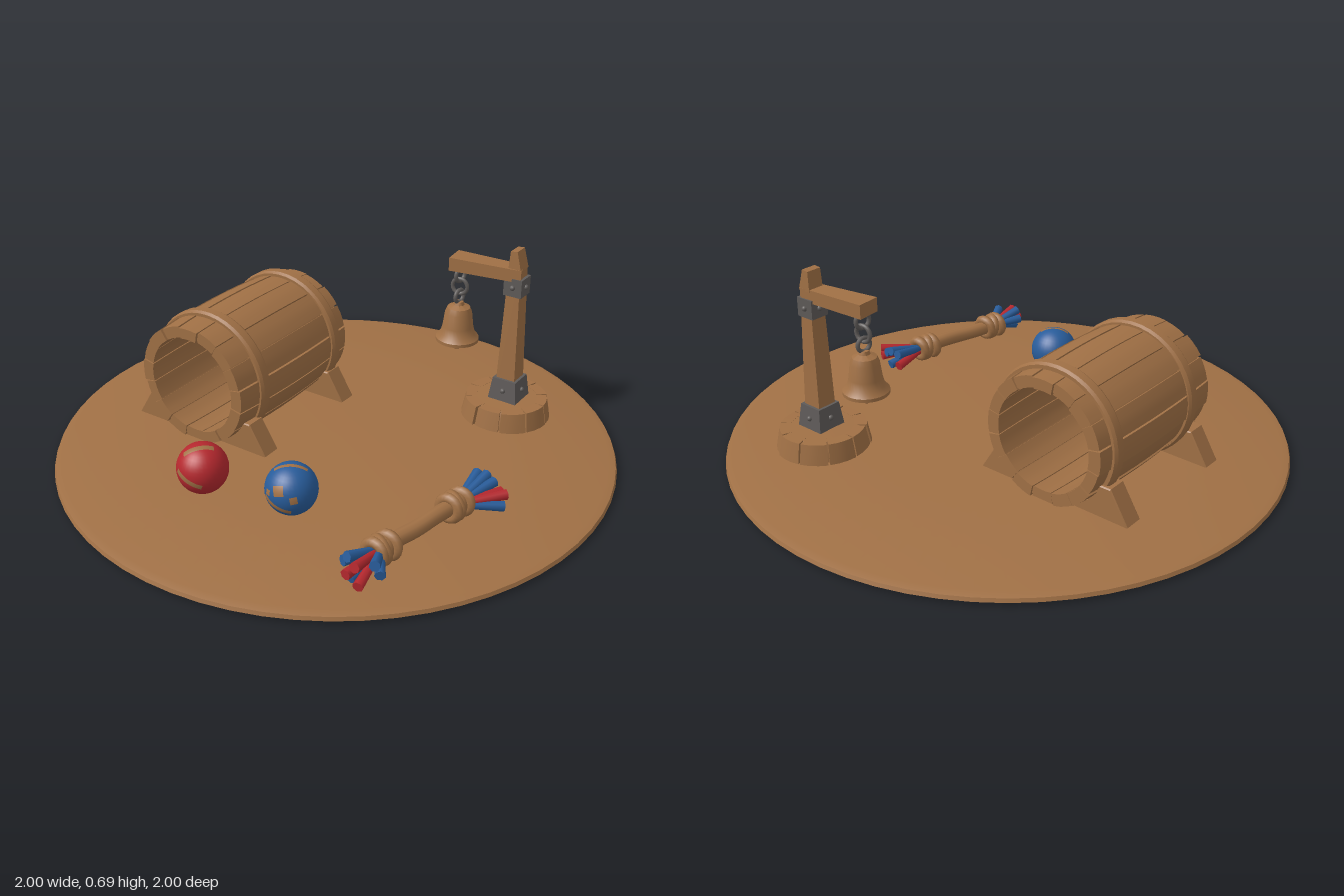
import * as THREE from 'three';
import { toCreasedNormals } from 'three/addons/utils/BufferGeometryUtils.js';

const paint = (name, color) => {
  const m = new THREE.MeshStandardMaterial({ color });
  m.name = name;
  return m;
};
const V = (x, y, z) => new THREE.Vector3(x, y, z);

export function createModel() {
  const wood = paint('wood brown', 0xa07045);
  const red = paint('toy red', 0xb5282e);
  const blue = paint('toy blue', 0x285c9a);
  const iron = paint('iron grey', 0x5e5a58);
  const model = new THREE.Group();
  let seed = 7;
  const rand = () => (seed = (seed * 16807) % 2147483647) / 2147483647 - 0.5;

  const group = (name, x = 0, y = 0, z = 0, parent = model) => {
    const g = new THREE.Group();
    g.name = name;
    g.position.set(x, y, z);
    parent.add(g);
    return g;
  };
  const add = (parent, name, geo, mat, x = 0, y = 0, z = 0) => {
    const m = new THREE.Mesh(geo, mat);
    m.name = name;
    m.position.set(x, y, z);
    parent.add(m);
    return m;
  };
  const lathe = (pts, seg = 40) =>
    toCreasedNormals(new THREE.LatheGeometry(pts.map(p => new THREE.Vector2(p[0], p[1])), seg), 0.6);
  // box bent around the z axis: angle range, inner and outer radius as functions of z
  const bentBox = (a0, a1, rIn, rOut, len, segZ) => {
    const g = new THREE.BoxGeometry(1, 1, len, 3, 1, segZ);
    const p = g.attributes.position;
    for (let i = 0; i < p.count; i++) {
      const a = a0 + (a1 - a0) * (p.getX(i) + 0.5), z = p.getZ(i);
      const r = p.getY(i) > 0 ? rOut(z) : rIn(z);
      p.setXYZ(i, r * Math.sin(a), r * Math.cos(a), z);
    }
    return toCreasedNormals(g, 0.5);
  };
  // tapered square beam, width w0 x d0 at the bottom and w1 x d1 at the top
  const beam = (w0, d0, w1, d1, h) => {
    const g = new THREE.BoxGeometry(1, h, 1);
    const p = g.attributes.position;
    for (let i = 0; i < p.count; i++) {
      const top = p.getY(i) > 0;
      p.setX(i, p.getX(i) * (top ? w1 : w0));
      p.setZ(i, p.getZ(i) * (top ? d1 : d0));
    }
    return toCreasedNormals(g, 0.4);
  };
  // round rod between two points
  const rod = (parent, name, a, b, r0, r1, mat, sides = 8) => {
    const d = b.clone().sub(a);
    const m = add(parent, name, new THREE.CylinderGeometry(r1, r0, d.length(), sides), mat);
    m.position.copy(a).add(b).multiplyScalar(0.5);
    m.quaternion.setFromUnitVectors(V(0, 1, 0), d.normalize());
    return m;
  };

  // ground disc, slightly domed
  add(model, 'ground', lathe([[0, 0], [0.985, 0], [1, 0.01], [0.995, 0.022], [0.97, 0.028], [0.5, 0.034], [0, 0.038]], 64), wood);

  // open barrel of bulging staves
  const barrel = group('barrel', -0.4, 0.25, 0);
  const bulge = z => 1 - (z / 0.32) ** 2;
  const staves = 16;
  for (let i = 0; i < staves; i++) {
    const a = (i / staves) * Math.PI * 2, half = Math.PI / staves - 0.012;
    const lift = rand() * 0.006;
    const stave = bentBox(a - half, a + half, z => 0.18 + 0.012 * bulge(z),
      z => 0.222 + lift + 0.014 * bulge(z), 0.63 + rand() * 0.02, 10);
    add(barrel, 'stave', stave, wood);
  }
  // liner closing the gaps between staves
  const liner = [];
  for (let i = 0; i <= 10; i++) {
    const z = -0.31 + 0.062 * i;
    liner.push([0.212 + 0.012 * bulge(z), z]);
  }
  for (let i = 10; i >= 0; i--) {
    const z = -0.31 + 0.062 * i;
    liner.push([0.185 + 0.012 * bulge(z), z]);
  }
  liner.push(liner[0]);
  add(barrel, 'barrelLiner', lathe(liner, 48), wood).rotation.x = Math.PI / 2;
  for (const [z, tilt] of [[-0.235, 0.04], [0.195, -0.04]]) {
    const hoop = lathe([[0.215, -0.025], [0.238, -0.025], [0.245, -0.015], [0.245, 0.015], [0.238, 0.025], [0.215, 0.025]], 40);
    add(barrel, 'hoop', hoop, wood, 0, 0, z).rotation.set(Math.PI / 2, tilt, 0);
  }

  // wedges holding the barrel
  const wedge = new THREE.Shape([[-0.3, 0.03], [-0.065, 0.03], [-0.15, 0.075], [-0.192, 0.14], [-0.232, 0.14]]
    .map(p => new THREE.Vector2(p[0], p[1])));
  for (const z of [-0.235, 0.24]) {
    for (const side of [0, 1]) {
      const geo = new THREE.ExtrudeGeometry(wedge, { depth: 0.066, bevelEnabled: true, bevelSize: 0.004, bevelThickness: 0.004, bevelSegments: 1 });
      geo.translate(0, 0, -0.033);
      const m = add(model, 'barrelWedge', geo, wood, side ? -0.41 : -0.4, 0, z);
      m.rotation.y = side * Math.PI;
    }
  }

  // balls with inlaid marks
  const R = 0.088;
  const ball = (name, mat, x, z, marks) => {
    const g = group(name, x, 0.123, z);
    add(g, name + 'Body', new THREE.SphereGeometry(R, 32, 20), mat);
    for (const [dir, roll, a, b] of marks) {
      const geo = new THREE.SphereGeometry(R * 1.015, 12, 4, Math.PI / 2 - a, 2 * a, Math.PI / 2 - b, 2 * b);
      const m = add(g, 'ballMark', geo, wood);
      m.quaternion.setFromUnitVectors(V(0, 0, 1), dir.normalize())
        .multiply(new THREE.Quaternion().setFromAxisAngle(V(0, 0, 1), roll));
    }
  };
  ball('redBall', red, -0.155, 0.55, [[V(0.05, 1, 0.25), 0.75, 0.6, 0.11], [V(0.1, -0.05, 1), -0.42, 0.6, 0.1]]);
  ball('blueBall', blue, 0.16, 0.48, [[V(0.02, 1, 0.05), 0.55, 0.65, 0.08], [V(0, -0.3, 1), -0.42, 0.6, 0.1],
    [V(0.1, 0.42, 1), 0.3, 0.2, 0.2], [V(-0.4, 0.2, 1), 0, 0.11, 0.11], [V(0.7, 0.1, 0.8), 0.2, 0.14, 0.14]]);

  // round plinth of the bell stand, with a ring of blocks
  const stand = group('bellStand', 0.43, 0, -0.5);
  add(stand, 'plinthCore', lathe([[0, 0.03], [0.15, 0.03], [0.145, 0.07], [0.13, 0.103], [0, 0.106]], 32), wood);
  const blocks = 10;
  for (let i = 0; i < blocks; i++) {
    const a = (i / blocks) * Math.PI * 2, half = Math.PI / blocks - 0.02, o = rand() * 0.01;
    const geo = bentBox(a - half, a + half, () => 0.11, z => 0.158 + o - z * 0.2, 0.072, 2);
    add(stand, 'plinthBlock', geo, wood, 0, 0.068, 0).rotation.x = -Math.PI / 2;
  }
  // post and pointed tip
  add(stand, 'post', beam(0.078, 0.076, 0.046, 0.056, 0.52), wood, 0.005, 0.36, 0);
  const tip = beam(0.05, 0.06, 0.026, 0.056, 0.072);
  add(stand, 'postTip', tip, wood, 0.002, 0.65, 0).rotation.z = 0.1;
  // iron collars with rivets
  const collar = (y, w0, w1, h) => {
    add(stand, 'collar', beam(w0, w0, w1, w1, h), iron, 0.005, y, 0);
    for (let i = 0; i < 4; i++) {
      const a = i * Math.PI / 2, r = (w0 + w1) / 4;
      add(stand, 'rivet', new THREE.SphereGeometry(0.01, 10, 8), iron, 0.005 + r * Math.sin(a), y, r * Math.cos(a));
    }
  };
  collar(0.145, 0.112, 0.092, 0.085);
  collar(0.552, 0.07, 0.07, 0.068);
  // arm, wider at its free end
  const arm = add(stand, 'arm', beam(0.046, 0.062, 0.05, 0.085, 0.27), wood, -0.105, 0.598, 0.013);
  arm.rotation.set(0, 0.1, Math.PI / 2);

  // bell, chain and clapper
  const bell = group('bell', -0.21, 0, 0.023, stand);
  add(bell, 'bellBody', lathe([[0, 0.315], [0.05, 0.31], [0.07, 0.286], [0.08, 0.288], [0.08, 0.3], [0.064, 0.318], [0.057, 0.345],
    [0.05, 0.4], [0.042, 0.42], [0.02, 0.43], [0.016, 0.442], [0, 0.445]], 32), wood);
  add(bell, 'clapper', new THREE.SphereGeometry(0.021, 16, 12), wood, 0, 0.269, 0);
  rod(bell, 'clapperRod', V(0, 0.27, 0), V(0, 0.32, 0), 0.009, 0.009, wood);
  for (const [y, turn, s] of [[0.463, 1.4, 0.024], [0.502, 0.1, 0.029], [0.548, 1.4, 0.026]]) {
    add(bell, 'chainLink', new THREE.TorusGeometry(s, 0.0075, 8, 20), iron, 0, y, 0).rotation.y = turn;
  }

  // rope toy with two knots and frayed ends
  const rope = group('ropeToy');
  const kA = V(0.617, 0.092, 0.22), kB = V(0.55, 0.092, 0.55);
  const path = new THREE.CatmullRomCurve3([kA, V(0.6, 0.095, 0.31), V(0.583, 0.092, 0.4), V(0.562, 0.092, 0.48), kB]);
  add(rope, 'ropeMiddle', new THREE.TubeGeometry(path, 20, 0.027, 10), wood);
  const along = kB.clone().sub(kA).normalize();
  for (const k of [kA, kB]) {
    add(rope, 'knotCore', new THREE.SphereGeometry(0.042, 16, 12), wood).position.copy(k);
    for (const [off, tilt] of [[-0.026, 0.2], [0.004, -0.25], [0.03, 0.12]]) {
      const coil = add(rope, 'knotCoil', new THREE.TorusGeometry(0.035, 0.018, 8, 20), wood);
      coil.position.copy(k).addScaledVector(along, off);
      coil.quaternion.setFromUnitVectors(V(0, 0, 1), along.clone().add(V(tilt, tilt * 0.6, 0)).normalize());
    }
  }
  // strands: end x, y, z and colour
  const fray = (knot, ends) => ends.forEach(([x, y, z, mat]) => {
    rod(rope, 'strand', knot, V(x, y, z), 0.011, 0.018, mat, 7);
  });
  fray(kA, [[0.605, 0.12, 0.05, blue], [0.64, 0.125, 0.05, blue], [0.67, 0.11, 0.055, blue], [0.61, 0.065, 0.06, red],
    [0.7, 0.085, 0.06, red], [0.73, 0.1, 0.085, red], [0.735, 0.07, 0.11, blue], [0.655, 0.06, 0.06, blue]]);
  fray(kB, [[0.493, 0.1, 0.675, blue], [0.515, 0.13, 0.685, blue], [0.53, 0.09, 0.715, red], [0.555, 0.12, 0.705, red],
    [0.578, 0.07, 0.72, red], [0.6, 0.12, 0.665, blue], [0.61, 0.08, 0.65, blue], [0.53, 0.06, 0.69, blue]]);

  return model;
}
